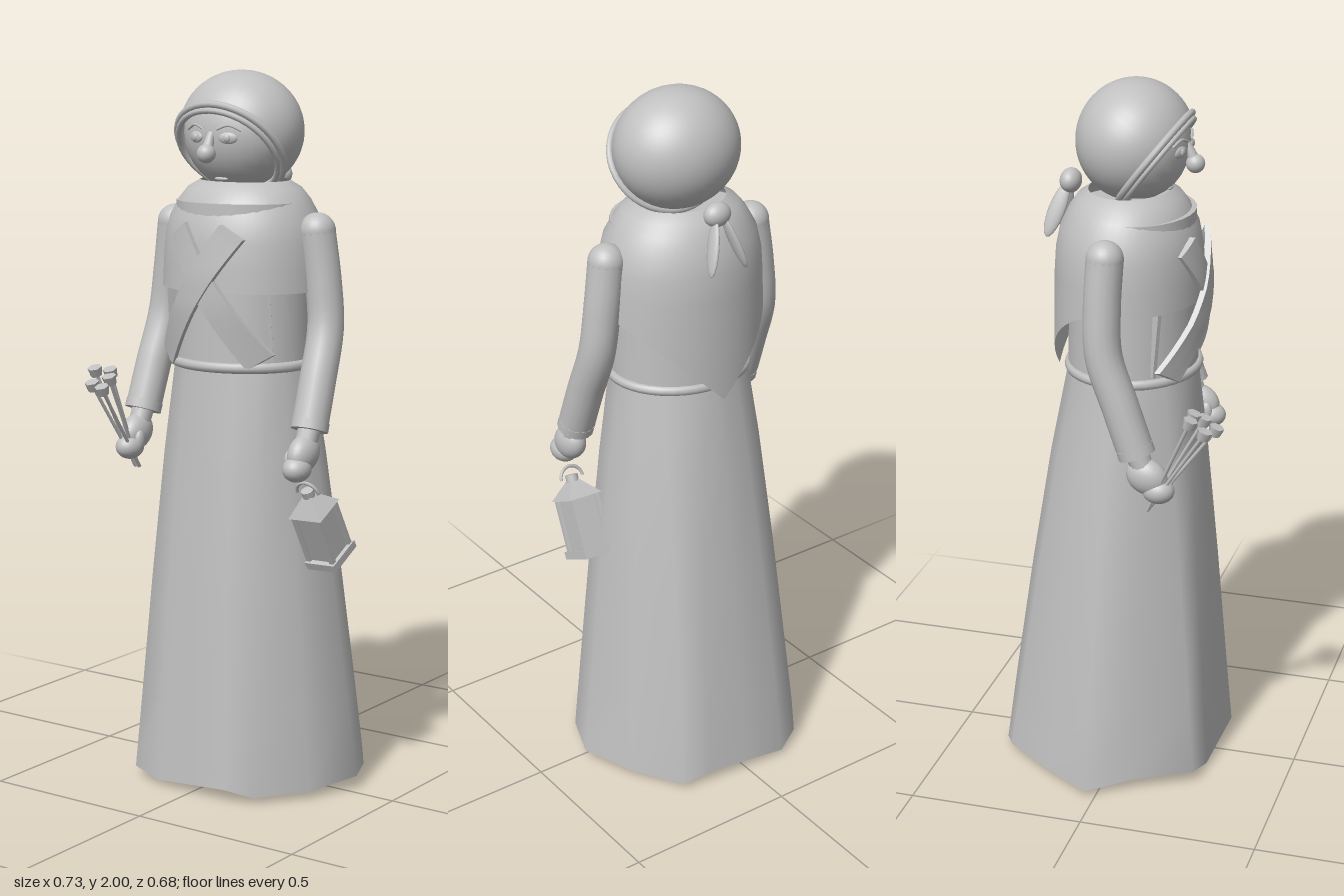
import * as THREE from 'three';

const clay = new THREE.MeshStandardMaterial({ color: 0xc0c0c0, side: THREE.DoubleSide });
clay.name = 'pale grey';

const V = (x, y, z) => new THREE.Vector3(x, y, z);

function add(parent, name, geo, pos = [0, 0, 0], scale = [1, 1, 1], rot = [0, 0, 0]) {
  const m = new THREE.Mesh(geo, clay);
  m.name = name;
  m.position.set(...pos);
  m.scale.set(...scale);
  m.rotation.set(...rot);
  parent.add(m);
  return m;
}

const ball = () => new THREE.SphereGeometry(1, 24, 16);

// Straight rod from a to b
function rod(parent, name, a, b, r0, r1 = r0, sides = 12) {
  const d = b.clone().sub(a);
  const m = add(parent, name, new THREE.CylinderGeometry(r1, r0, d.length(), sides));
  m.position.copy(a).addScaledVector(d, 0.5);
  m.quaternion.setFromUnitVectors(V(0, 1, 0), d.normalize());
  return m;
}

// Closed sleeve of rings; angle 0 faces the front, rows run from top to bottom
function loft(rows, cols, point) {
  const pos = [], idx = [];
  for (let i = 0; i < rows; i++) {
    for (let j = 0; j < cols; j++) {
      pos.push(...point(i, j, (j / cols) * Math.PI * 2));
      if (i === rows - 1) continue;
      const k = (j + 1) % cols, a = i * cols;
      idx.push(a + j, a + cols + j, a + k, a + k, a + cols + j, a + cols + k);
    }
  }
  const g = new THREE.BufferGeometry();
  g.setAttribute('position', new THREE.Float32BufferAttribute(pos, 3));
  g.setIndex(idx);
  g.computeVertexNormals();
  return g;
}

function buildClothes(root) {
  // Skirt: waist ellipse blending into an uneven hem
  const hem = [[0, .272], [.125, .28], [.2, .244], [.3, .12], [.363, -.03], [.295, -.175],
    [.207, -.308], [.12, -.325], [0, -.332], [-.125, -.34], [-.2, -.302], [-.295, -.17],
    [-.365, -.03], [-.29, .09], [-.207, .248], [-.115, .265]];
  const levels = [[1.2, 0], [.95, .26], [.6, .56], [.25, .83], [.025, 1]];
  add(root, 'skirt', loft(levels.length, 16, (i, j, a) => {
    const [y, t] = levels[i];
    return [
      THREE.MathUtils.lerp(Math.sin(a) * .2, hem[j][0], t),
      y + (t === 1 ? .012 * Math.sin(a * 5) : 0),
      THREE.MathUtils.lerp(.01 + Math.cos(a) * .18, hem[j][1], t)];
  }));

  // Bodice and belt
  add(root, 'bodice', new THREE.CylinderGeometry(.19, .2, .45, 32), [0, 1.42, .01], [1, 1, .9]);
  add(root, 'belt', new THREE.TorusGeometry(.2, .013, 8, 40), [0, 1.2, .012], [1, .9, 1.1], [Math.PI / 2, 0, 0]);
  for (const s of [-1, 1])
    add(root, 'vestEdge', new THREE.BoxGeometry(.012, .19, .025), [s * .162, 1.315, .115], [1, 1, 1], [.08, s * .6, 0]);

  // Shawl: level hem in front, pointed at the back
  const rings = [[1.7, .13], [1.68, .165], [1.65, .19], [1.6, .218], [1.54, .232], [1.47, .237]];
  add(root, 'shawl', loft(rings.length + 1, 48, (i, j, a) => {
    const r = i < rings.length ? rings[i][1] : .24;
    const x = Math.sin(a) * r, back = Math.cos(a) < 0;
    const y = i < rings.length ? rings[i][0] : back ? 1.17 + .235 * Math.abs(Math.sin(a)) : 1.405;
    return [x, y, Math.cos(a) * r * .86];
  }));

  // Crossed scarf bands bent over the chest
  for (const s of [-1, 1]) {
    const g = new THREE.BoxGeometry(.072, .43, .016, 3, 12, 1);
    g.rotateZ(s * -.6);
    g.translate(s * -.03, 1.395, s * .004);
    const p = g.attributes.position;
    for (let i = 0; i < p.count; i++) {
      const x = p.getX(i), y = p.getY(i);
      p.setZ(i, p.getZ(i) + .22 - 2.5 * x * x - .12 * Math.max(0, 1.36 - y) - .1 * Math.max(0, y - 1.45));
    }
    g.computeVertexNormals();
    add(root, 'scarfBand', g);
  }
}

function buildHead(root) {
  const head = new THREE.Group();
  head.name = 'head';
  root.add(head);
  add(head, 'face', ball(), [0, 1.83, .03], [.158, .155, .135]);

  // Kerchief: tilted open sphere with a rolled edge
  const cap = new THREE.Group();
  cap.name = 'kerchief';
  cap.position.set(0, 1.835, .015);
  cap.scale.set(.178, .165, .16);
  head.add(cap);
  const tilt = -.908, open = 2.08;
  add(cap, 'kerchiefCap', new THREE.SphereGeometry(1, 40, 24, 0, Math.PI * 2, 0, open).rotateX(tilt));
  [[.93, .06, -.44], [.87, .05, -.53]].forEach(([r, t, h]) =>
    add(cap, 'kerchiefEdge', new THREE.TorusGeometry(r, t, 8, 40).rotateX(Math.PI / 2).translate(0, h, 0).rotateX(tilt)));

  // Knot and two tails
  add(head, 'knot', ball(), [0, 1.705, -.168], [.04, .034, .03]);
  for (const s of [-1, 1]) {
    const tail = rod(head, 'knotTail', V(s * .012, 1.7, -.175), V(s * .058, 1.555, -.222), .006, .028);
    tail.scale.z = .4;
    tail.rotateX(Math.PI);
    tail.rotateX(Math.PI);
    tail.geometry.dispose();
    tail.geometry = new THREE.SphereGeometry(1, 12, 10).scale(.024, .078, .024);
  }

  // Facial features
  for (const s of [-1, 1]) {
    add(head, 'eye', ball(), [s * .053, 1.822, .154], [.027, .016, .008], [0, s * .35, 0]);
    add(head, 'pupil', ball(), [s * .053, 1.822, .16], [.01, .011, .006], [0, s * .35, 0]);
    const brow = new THREE.CatmullRomCurve3([V(s * .022, 1.845, .165), V(s * .055, 1.856, .157), V(s * .088, 1.842, .142)]);
    add(head, 'brow', new THREE.TubeGeometry(brow, 8, .004, 6));
  }
  rod(head, 'noseBridge', V(0, 1.835, .158), V(0, 1.785, .18), .01, .017);
  add(head, 'noseTip', ball(), [0, 1.78, .182], [.026, .026, .026]);
  add(head, 'mouth', ball(), [0, 1.708, .112], [.022, .006, .008]);
}

function buildArm(root, s) {
  const arm = new THREE.Group();
  arm.name = s > 0 ? 'leftArm' : 'rightArm';
  root.add(arm);
  const path = new THREE.CatmullRomCurve3([
    V(s * .24, 1.57, 0), V(s * .258, 1.44, -.003), V(s * .272, 1.31, .005),
    V(s * .28, 1.17, .055), V(s * .284, 1.045, .1)]);
  add(arm, 'sleeve', new THREE.TubeGeometry(path, 20, .051, 16));
  add(arm, 'shoulder', ball(), [s * .24, 1.57, 0], [.051, .051, .051]);
  const end = path.getPoint(1), dir = path.getTangent(1);
  rod(arm, 'cuff', end.clone().addScaledVector(dir, -.02), end.clone().addScaledVector(dir, .006), .052, .052, 16);
  rod(arm, 'wrist', end, V(s * .285, .98, .13), .032, .03);
  add(arm, 'palm', ball(), [s * .285, .98, .13], [.038, .05, .06], [.5, 0, 0]);
  add(arm, 'fingers', ball(), [s * .285, .942, .162], [.038, .036, .045]);
  add(arm, 'thumb', ball(), [s * .255, .96, .155], [.013, .03, .018]);
}

function buildLantern(root) {
  const lantern = new THREE.Group();
  lantern.name = 'lantern';
  lantern.position.set(.29, .895, .13);
  lantern.rotation.set(.48, 0, .04);
  root.add(lantern);
  add(lantern, 'lanternHandle', new THREE.TorusGeometry(.035, .005, 6, 20, Math.PI), [0, -.03, 0]);
  add(lantern, 'lanternCap', new THREE.CylinderGeometry(.018, .018, .02, 12), [0, -.03, 0]);
  add(lantern, 'lanternRoof', new THREE.CylinderGeometry(.018, .075, .05, 4, 1).rotateY(Math.PI / 4).toNonIndexed(), [0, -.06, 0]).geometry.computeVertexNormals();
  add(lantern, 'lanternPane', new THREE.BoxGeometry(.076, .15, .086), [0, -.16, 0]);
  for (const x of [-1, 1]) for (const z of [-1, 1])
    add(lantern, 'lanternPost', new THREE.BoxGeometry(.014, .15, .014), [x * .038, -.16, z * .044]);
  add(lantern, 'lanternBase', new THREE.BoxGeometry(.1, .022, .118), [0, -.244, 0]);
}

function buildFlowers(root) {
  const posy = new THREE.Group();
  posy.name = 'posy';
  root.add(posy);
  const heads = [[-.33, 1.165, .258], [-.312, 1.13, .293], [-.278, 1.165, .255], [-.262, 1.15, .28], [-.262, 1.125, .313]];
  heads.forEach(([x, y, z], i) => {
    rod(posy, 'stem', V(-.282 + (i - 2) * .004, .88, .132), V(x, y, z), .005, .005, 6);
    add(posy, 'flowerHead', new THREE.CylinderGeometry(.021, .016, .026, 6), [x, y, z], [1, 1, 1], [.35, 0, 0]).geometry =
      new THREE.CylinderGeometry(.021, .016, .026, 6).toNonIndexed();
  });
}

function buildLeg(root, s) {
  const leg = new THREE.Group();
  leg.name = s > 0 ? 'leftLeg' : 'rightLeg';
  root.add(leg);
  rod(leg, 'shin', V(s * .1, .03, -.02), V(s * .1, .5, -.02), .045, .055, 20);
  add(leg, 'sole', new THREE.CylinderGeometry(1, 1, .02, 32), [s * .11, .01, .04], [.08, 1, .14]);
  add(leg, 'shoe', new THREE.SphereGeometry(1, 24, 10, 0, Math.PI * 2, 0, Math.PI / 2), [s * .11, .02, .04], [.076, .065, .135]);
}

export function createModel() {
  const root = new THREE.Group();
  root.name = 'robedFigure';
  buildClothes(root);
  buildHead(root);
  for (const s of [-1, 1]) {
    buildArm(root, s);
    buildLeg(root, s);
  }
  buildLantern(root);
  buildFlowers(root);
  return root;
}
